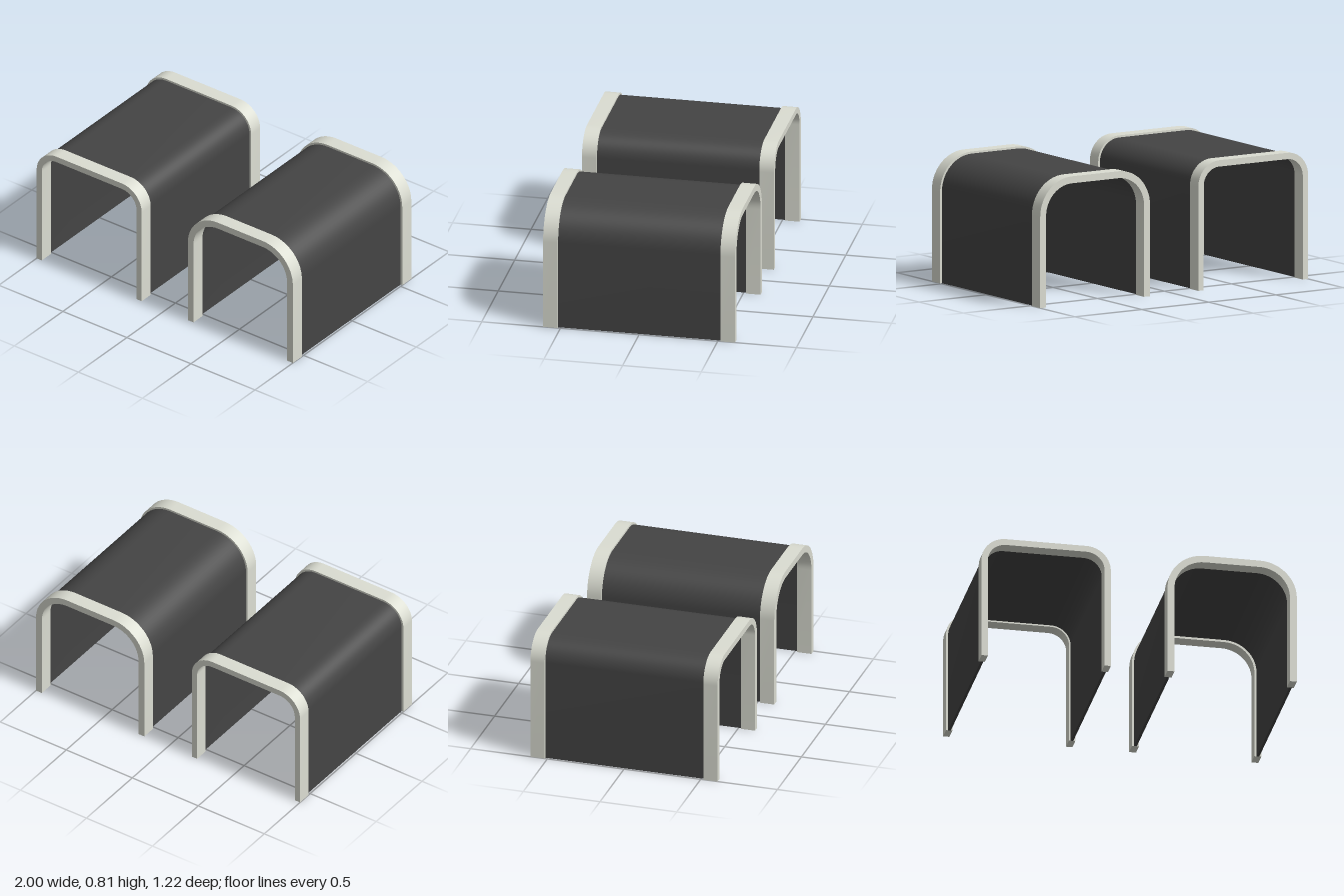
import * as THREE from 'three';
import { toCreasedNormals } from 'three/addons/utils/BufferGeometryUtils.js';

const HALF_WIDTH = 0.41, HEIGHT = 0.81, HALF_DEPTH = 0.61, RIM_DEPTH = 0.093;

const rimMaterial = new THREE.MeshStandardMaterial({ color: 0xdbddd2 });
const panelMaterial = new THREE.MeshStandardMaterial({ color: 0x444444 });

// Points of an upside-down U, offset inwards by inset, from left foot to right foot
function archLine(radius, inset) {
  const w = HALF_WIDTH - inset, h = HEIGHT - inset, r = radius - inset, steps = 14;
  const points = [new THREE.Vector2(-w, 0)];
  for (const [cx, start] of [[r - w, Math.PI], [w - r, Math.PI / 2]]) {
    for (let i = 0; i <= steps; i++) {
      const a = start - (i / steps) * Math.PI / 2;
      points.push(new THREE.Vector2(cx + r * Math.cos(a), h - r + r * Math.sin(a)));
    }
  }
  points.push(new THREE.Vector2(w, 0));
  return points;
}

// Solid arch between two insets, from z = zStart over the given depth
function arch(name, radius, outerInset, innerInset, zStart, depth, material) {
  const outline = [...archLine(radius, outerInset), ...archLine(radius, innerInset).reverse()];
  const geometry = new THREE.ExtrudeGeometry(new THREE.Shape(outline), { depth, bevelEnabled: false });
  geometry.translate(0, 0, zStart);
  const mesh = new THREE.Mesh(toCreasedNormals(geometry, Math.PI / 5), material);
  mesh.name = name;
  return mesh;
}

// One tunnel: a thin dark shell with a thicker pale rim at each end
function tunnel(name, x, radius, thickness) {
  const group = new THREE.Group();
  group.name = name;
  group.position.x = x;
  const inner = HALF_DEPTH - RIM_DEPTH;
  group.add(
    arch('frontRim', radius, 0, thickness, inner, RIM_DEPTH, rimMaterial),
    arch('backRim', radius, 0, thickness, -HALF_DEPTH, RIM_DEPTH, rimMaterial),
    arch('shell', radius, 0.013, 0.03, -inner, 2 * inner, panelMaterial),
  );
  return group;
}

export function createModel() {
  const model = new THREE.Group();
  model.name = 'archedTunnels';
  model.add(
    tunnel('tightCornerTunnel', -0.59, 0.155, 0.04),
    tunnel('wideCornerTunnel', 0.59, 0.235, 0.044),
  );
  return model;
}
